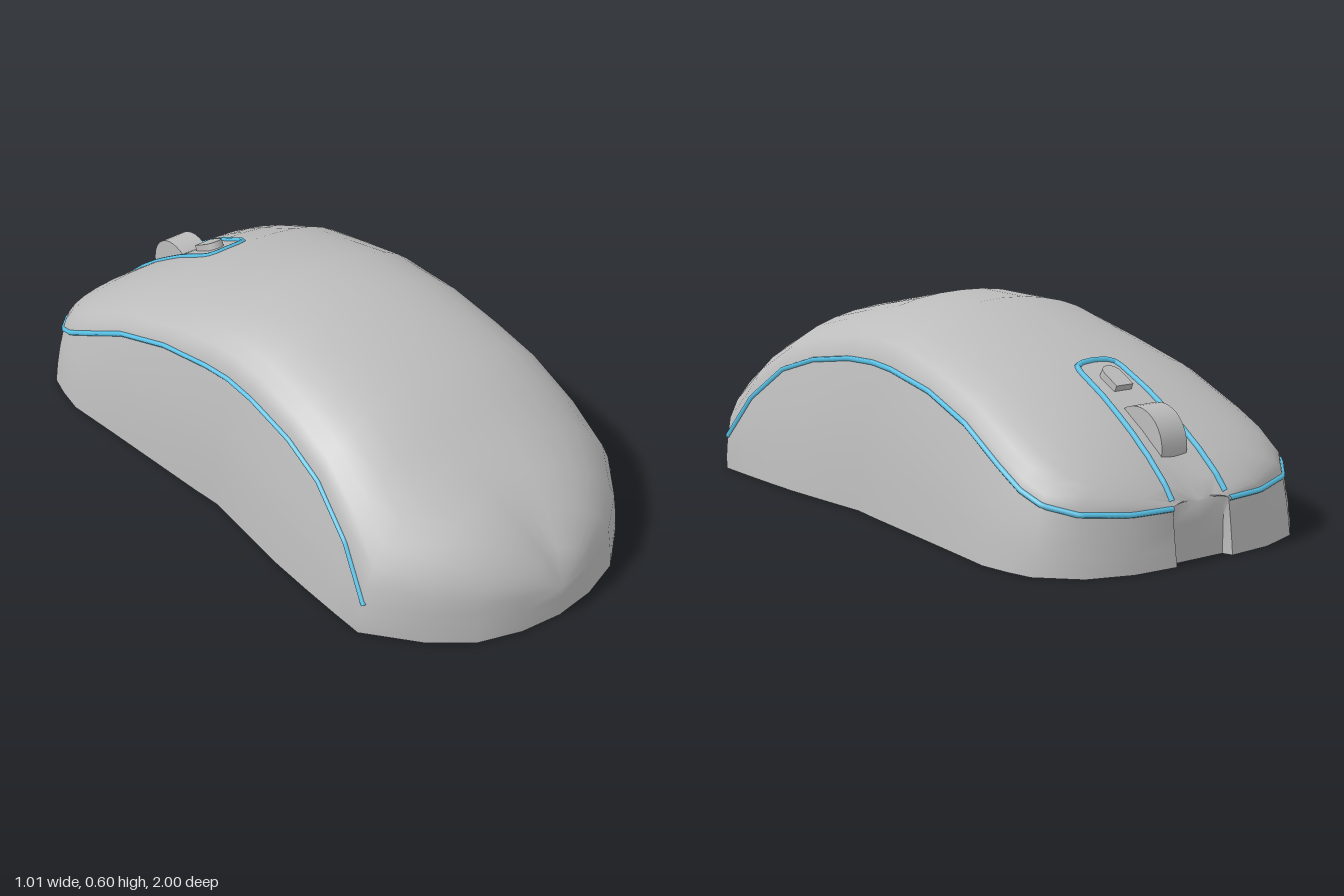
import * as THREE from 'three';
import { toCreasedNormals } from 'three/addons/utils/BufferGeometryUtils.js';

// Half outline from nose to tail:
// [base x, base z, crease x, crease y, crease z, spine z]
const RAILS = [
  [0, -0.97, 0, 0.16, -0.97, -0.97],
  [0.09, -0.97, 0.09, 0.16, -0.97, -0.966],
  [0.1, -1, 0.1, 0.155, -0.98, -0.96],
  [0.24, -0.99, 0.23, 0.155, -0.965, -0.92],
  [0.37, -0.945, 0.365, 0.165, -0.915, -0.85],
  [0.47, -0.845, 0.43, 0.185, -0.84, -0.78],
  [0.49, -0.77, 0.448, 0.215, -0.77, -0.72],
  [0.505, -0.68, 0.447, 0.26, -0.68, -0.66],
  [0.49, -0.5, 0.43, 0.345, -0.5, -0.5],
  [0.475, -0.3, 0.41, 0.4, -0.3, -0.3],
  [0.46, -0.1, 0.4, 0.43, -0.1, -0.1],
  [0.45, 0, 0.395, 0.435, 0, 0],
  [0.462, 0.12, 0.4, 0.43, 0.12, 0.1],
  [0.48, 0.32, 0.41, 0.4, 0.3, 0.28],
  [0.485, 0.47, 0.425, 0.35, 0.45, 0.44],
  [0.487, 0.6, 0.45, 0.24, 0.6, 0.57],
  [0.487, 0.7, 0.475, 0.1, 0.71, 0.68],
  [0.37, 0.85, 0.365, 0.1, 0.845, 0.77],
  [0.26, 0.94, 0.255, 0.1, 0.93, 0.86],
  [0.13, 0.985, 0.125, 0.1, 0.98, 0.94],
  [0, 1, 0, 0.1, 1, 1],
];

// Height of the centre line: [z, y]
const SPINE = [[-0.97, 0.16], [-0.9, 0.24], [-0.78, 0.33], [-0.6, 0.445], [-0.5, 0.485],
  [-0.1, 0.6], [0.1, 0.6], [0.45, 0.52], [0.75, 0.36], [0.92, 0.23], [1, 0.1]];

function spineY(z) {
  for (let i = 1; i < SPINE.length; i++) {
    const [z0, y0] = SPINE[i - 1], [z1, y1] = SPINE[i];
    if (z <= z1) return y0 + (y1 - y0) * (z - z0) / (z1 - z0);
  }
  return 0.1;
}

// One rib: a slightly bulged wall up to the crease, then a quarter ellipse to the spine
const WALL = 3, DOME = 8;
function rib([bx, bz, cx, cy, cz, sz]) {
  const pts = [];
  for (let j = 0; j < WALL; j++) {
    const t = j / WALL;
    const bulge = 0.06 * cy * bx * Math.sin(Math.PI * t);
    pts.push([bx + (cx - bx) * t + bulge, cy * t, bz + (cz - bz) * t]);
  }
  const sy = spineY(sz);
  for (let j = 0; j <= DOME; j++) {
    const a = j / DOME * Math.PI / 2;
    const c = j === DOME ? 0 : Math.cos(a);
    pts.push([cx * c, cy + (sy - cy) * Math.sin(a), sz + (cz - sz) * c]);
  }
  return pts;
}

function shellGeometry() {
  const half = RAILS.map(rib);
  const mirrored = half.slice(1, -1).reverse().map(r => r.map(([x, y, z]) => [-x, y, z]));
  const ribs = [...half, ...mirrored];
  const n = WALL + DOME + 1, index = [];
  for (let i = 0; i < ribs.length; i++) {
    const k = (i + 1) % ribs.length;
    for (let j = 0; j < n - 1; j++) {
      const a = i * n + j, b = k * n + j;
      index.push(a, a + 1, b, b, a + 1, b + 1);
    }
  }
  const geo = new THREE.BufferGeometry();
  geo.setAttribute('position', new THREE.Float32BufferAttribute(ribs.flat(2), 3));
  geo.setIndex(index);
  return toCreasedNormals(geo, 1.0);
}

// Thin line that follows a chain of points
function lineGeometry(points, radius) {
  const path = new THREE.CurvePath();
  for (let i = 1; i < points.length; i++) path.add(new THREE.LineCurve3(points[i - 1], points[i]));
  return new THREE.TubeGeometry(path, 120, radius, 6, false);
}

export function createModel() {
  const model = new THREE.Group();
  const grey = new THREE.MeshStandardMaterial({ color: 0xbcbcbc });
  grey.name = 'grey plastic';
  const blue = new THREE.MeshStandardMaterial({ color: 0x5cc8ee });
  blue.name = 'light blue trim';
  const add = (name, geo, mat) => {
    const mesh = new THREE.Mesh(geo, mat);
    mesh.name = name;
    model.add(mesh);
    return mesh;
  };

  // Body
  const shell = add('shell', shellGeometry(), grey);
  const outline = [
    ...RAILS.map(r => new THREE.Vector2(r[0], r[1])),
    ...RAILS.slice(1, -1).reverse().map(r => new THREE.Vector2(-r[0], r[1])),
  ];
  add('base', new THREE.ShapeGeometry(new THREE.Shape(outline)).rotateX(Math.PI / 2), grey);

  // Finds the height of the shell below a point
  const ray = new THREE.Raycaster();
  const onShell = (x, z) => {
    ray.set(new THREE.Vector3(x, 2, z), new THREE.Vector3(0, -1, 0));
    const hit = ray.intersectObject(shell)[0];
    return new THREE.Vector3(x, hit ? hit.point.y : spineY(z), z);
  };

  // Trim along the side creases
  for (const side of [1, -1]) {
    const pts = RAILS.slice(2, 17).map(r => new THREE.Vector3(side * r[2], r[3], r[4]));
    add(side > 0 ? 'leftTrim' : 'rightTrim', lineGeometry(pts, 0.008), blue);
  }

  // U-shaped trim around the centre strip
  const strip = [];
  for (let i = 0; i <= 12; i++) {
    const t = i / 12;
    strip.push([0.095 - 0.02 * t, -0.97 + 0.41 * t]);
  }
  strip.push([0.068, -0.535], [0.045, -0.523], [0, -0.52]);
  const u = [...strip, ...strip.slice(0, -1).reverse().map(([x, z]) => [-x, z])];
  add('stripTrim', lineGeometry(u.map(([x, z]) => onShell(x, z)), 0.009), blue);

  // Scroll wheel
  const wheel = add('scrollWheel',
    new THREE.CylinderGeometry(0.105, 0.105, 0.09, 32).rotateZ(Math.PI / 2), grey);
  wheel.position.set(0, 0.285, -0.765);

  // Small button behind the wheel, rounded at its rear end
  const shape = new THREE.Shape();
  shape.moveTo(-0.03, 0.045);
  shape.lineTo(-0.03, -0.015);
  shape.absarc(0, -0.015, 0.03, Math.PI, Math.PI * 2, false);
  shape.lineTo(0.03, 0.045);
  const button = add('modeButton',
    new THREE.ExtrudeGeometry(shape, { depth: 0.035, bevelEnabled: false, curveSegments: 10 }), grey);
  const slope = (spineY(-0.56) - spineY(-0.65)) / 0.09;
  button.rotation.x = -Math.PI / 2 - Math.atan(slope);
  button.position.copy(onShell(0, -0.605));
  button.position.y -= 0.016;

  return model;
}
